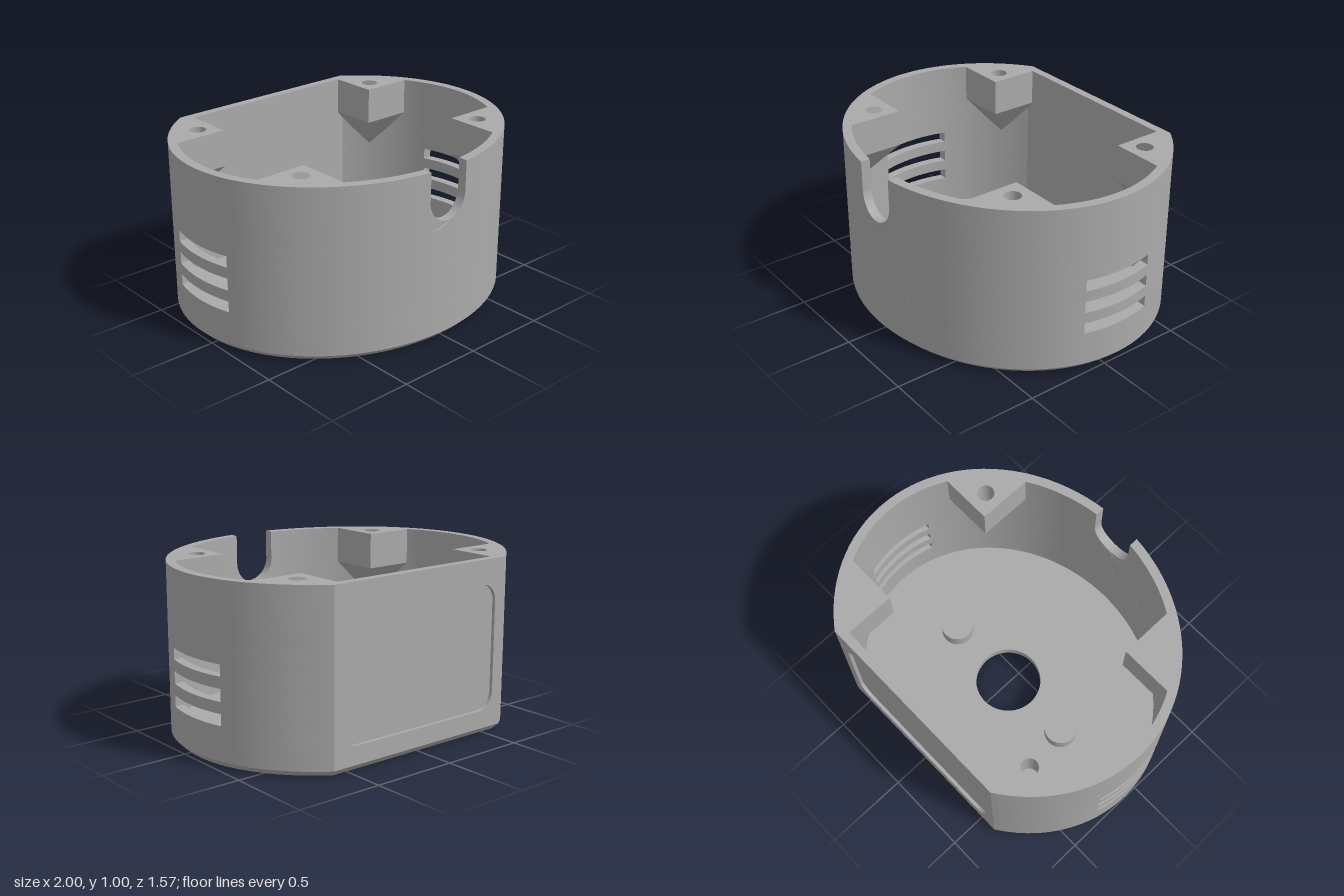
import * as THREE from 'three';
import { toCreasedNormals } from 'three/addons/utils/BufferGeometryUtils.js';

const ZC = -0.09;      // centre of the elliptical plan
const BACK = -0.783;   // flat back face
const RECESS = 0.02;   // depth of the back panel recess
const FLOOR = 0.055;
const CHAMFER = 0.035;
const OUTER = { a: 1, b: 0.873, back: BACK + RECESS };
const FULL = { a: 1, b: 0.873, back: BACK };
const INNER = { a: 0.947, b: 0.82, back: -0.733 };
const MID = { a: 0.972, b: 0.846 };

// Points along an ellipse in plan (shape y = world z)
function arc(e, t0, t1, n = 40) {
  return Array.from({ length: n + 1 }, (_, i) => {
    const t = t0 + (t1 - t0) * i / n;
    return new THREE.Vector2(e.a * Math.cos(t), ZC + e.b * Math.sin(t));
  });
}
const flatAngle = e => Math.asin((ZC - e.back) / e.b);
const outline = e => arc(e, -flatAngle(e), Math.PI + flatAngle(e), 96);

// Extrudes a plan shape between two heights
function slab(shape, y0, y1) {
  const g = new THREE.ExtrudeGeometry(shape, { depth: y1 - y0, bevelEnabled: false, curveSegments: 32 });
  return g.rotateX(Math.PI / 2).translate(0, y1, 0);
}
function circle(x, z, r) {
  return new THREE.Path().absarc(x, z, r, 0, Math.PI * 2, true);
}
function editVertices(g, rule) {
  const p = g.attributes.position, v = new THREE.Vector3();
  for (let i = 0; i < p.count; i++) {
    rule(v.fromBufferAttribute(p, i));
    p.setXYZ(i, v.x, v.y, v.z);
  }
  return g;
}

export function createModel() {
  const model = new THREE.Group();
  const grey = new THREE.MeshStandardMaterial({ color: 0xaaaaaa });
  grey.name = 'grey plastic';
  const add = (name, g) => {
    const m = new THREE.Mesh(toCreasedNormals(g, 0.4), grey);
    m.name = name;
    model.add(m);
  };
  const PI = Math.PI;

  // Floor with a central opening, two small holes and a chamfered lower edge
  const floorShape = new THREE.Shape(outline(FULL));
  floorShape.holes.push(circle(0, ZC, 0.197), circle(0.455, ZC, 0.043), circle(-0.455, ZC, 0.043));
  add('floor', slab(floorShape, CHAMFER, FLOOR));
  add('chamferedBase', editVertices(slab(floorShape, 0, CHAMFER), v => {
    if (v.y < 0.001 && Math.hypot(v.x, v.z - ZC) > 0.6) {
      v.x *= 0.965;
      v.z = ZC + (v.z - ZC) * (v.z < 0 ? 0.952 : 0.96);
    }
  }));

  // Low bosses closing the small holes
  for (const s of [-1, 1]) {
    const boss = new THREE.CylinderGeometry(0.097, 0.097, 0.09, 40);
    add('boss', boss.translate(s * 0.455, FLOOR + 0.045, ZC));
  }

  // Solid bands of the wall, between the vents
  const ring = new THREE.Shape(outline(OUTER));
  ring.holes.push(new THREE.Path(outline(INNER)));
  const slots = [[0.23, 0.295], [0.36, 0.43], [0.495, 0.56]];
  const NOTCH_BASE = 0.66;
  const levels = [FLOOR, ...slots.flat(), NOTCH_BASE];
  for (let i = 0; i < levels.length; i += 2) add('wallBand', slab(ring, levels[i], levels[i + 1]));

  // Wall pieces in front of and behind the side vents
  const to = Math.asin(0.217 / OUTER.b), ti = Math.asin(0.217 / INNER.b);
  const fo = flatAngle(OUTER), fi = flatAngle(INNER);
  const frontPiece = new THREE.Shape([...arc(OUTER, to, PI - to, 64), ...arc(INNER, PI - ti, ti, 64)]);
  const backPiece = new THREE.Shape([
    ...arc(OUTER, PI + to, PI + fo), ...arc(OUTER, 2 * PI - fo, 2 * PI - to),
    ...arc(INNER, 2 * PI - ti, 2 * PI - fi), ...arc(INNER, PI + fi, PI + ti),
  ]);
  for (const [y0, y1] of slots) {
    add('ventFrontWall', slab(frontPiece, y0, y1));
    add('ventBackWall', slab(backPiece, y0, y1));
  }

  // Upper wall, open at the front for the cable notch
  const R = 0.13, no = Math.acos(R / OUTER.a), ni = Math.acos(R / INNER.a);
  const upper = new THREE.Shape([
    ...arc(OUTER, PI - no, PI + fo), ...arc(OUTER, 2 * PI - fo, 2 * PI + no),
    ...arc(INNER, 2 * PI + ni, 2 * PI - fi), ...arc(INNER, PI + fi, PI - ni),
  ]);
  add('upperWall', slab(upper, NOTCH_BASE, 1));

  // Rounded bottom of the notch, bent to follow the wall
  const notch = new THREE.Shape();
  notch.moveTo(-R, NOTCH_BASE);
  for (let i = 1; i <= 12; i++) notch.lineTo(-R + 2 * R * i / 12, NOTCH_BASE);
  notch.lineTo(R, 0.83);
  notch.absarc(0, 0.83, R, 0, -PI, true);
  const notchGeo = new THREE.ExtrudeGeometry(notch, { depth: 1, bevelEnabled: false, curveSegments: 24 });
  add('notchBottom', editVertices(notchGeo, v => {
    const e = v.z > 0.5 ? OUTER : INNER;
    v.z = ZC + e.b * Math.sqrt(1 - (v.x / e.a) ** 2);
  }));

  // Flat back frame around the recessed panel
  const edgeX = z => Math.sqrt(1 - ((z - ZC) / OUTER.b) ** 2);
  const frame = new THREE.Shape([[-0.6, FLOOR], [0.6, FLOOR], [0.6, 1], [-0.6, 1]].map(p => new THREE.Vector2(...p)));
  const w = 0.545, lo = 0.14, hi = 0.86, r = 0.1;
  const panel = new THREE.Path();
  panel.absarc(w - r, hi - r, r, 0, PI / 2);
  panel.absarc(-w + r, hi - r, r, PI / 2, PI);
  panel.absarc(-w + r, lo + r, r, PI, 1.5 * PI);
  panel.absarc(w - r, lo + r, r, 1.5 * PI, 2 * PI);
  panel.closePath();
  frame.holes.push(panel);
  const frameGeo = new THREE.ExtrudeGeometry(frame, { depth: RECESS, bevelEnabled: false, curveSegments: 12 });
  add('backFrame', editVertices(frameGeo.translate(0, 0, BACK), v => {
    if (Math.abs(v.x) > 0.59) v.x = Math.sign(v.x) * edgeX(v.z);
  }));

  // Corner screw blocks, each tapering to a point on the wall
  const t0 = Math.asin(0.352 / MID.b), t1 = Math.acos(0.55 / MID.a);
  const corner = [new THREE.Vector2(0.55, ZC + 0.352), ...arc(MID, t0, t1, 16)];
  for (const sx of [-1, 1]) for (const sz of [-1, 1]) {
    const place = p => new THREE.Vector2(sx * p.x, Math.max(ZC + sz * (p.y - ZC), -0.75));
    const block = new THREE.Shape(corner.map(place));
    const taper = slab(block, 0.55, 0.785);
    block.holes.push(circle(sx * 0.652, ZC + sz * 0.457, 0.048));
    add('screwBlock', slab(block, 0.785, 1));
    add('screwBlockTaper', editVertices(taper, v => {
      if (v.y < 0.6) v.set(sx * 0.73, 0.55, ZC + sz * 0.54);
    }));
  }
  return model;
}
